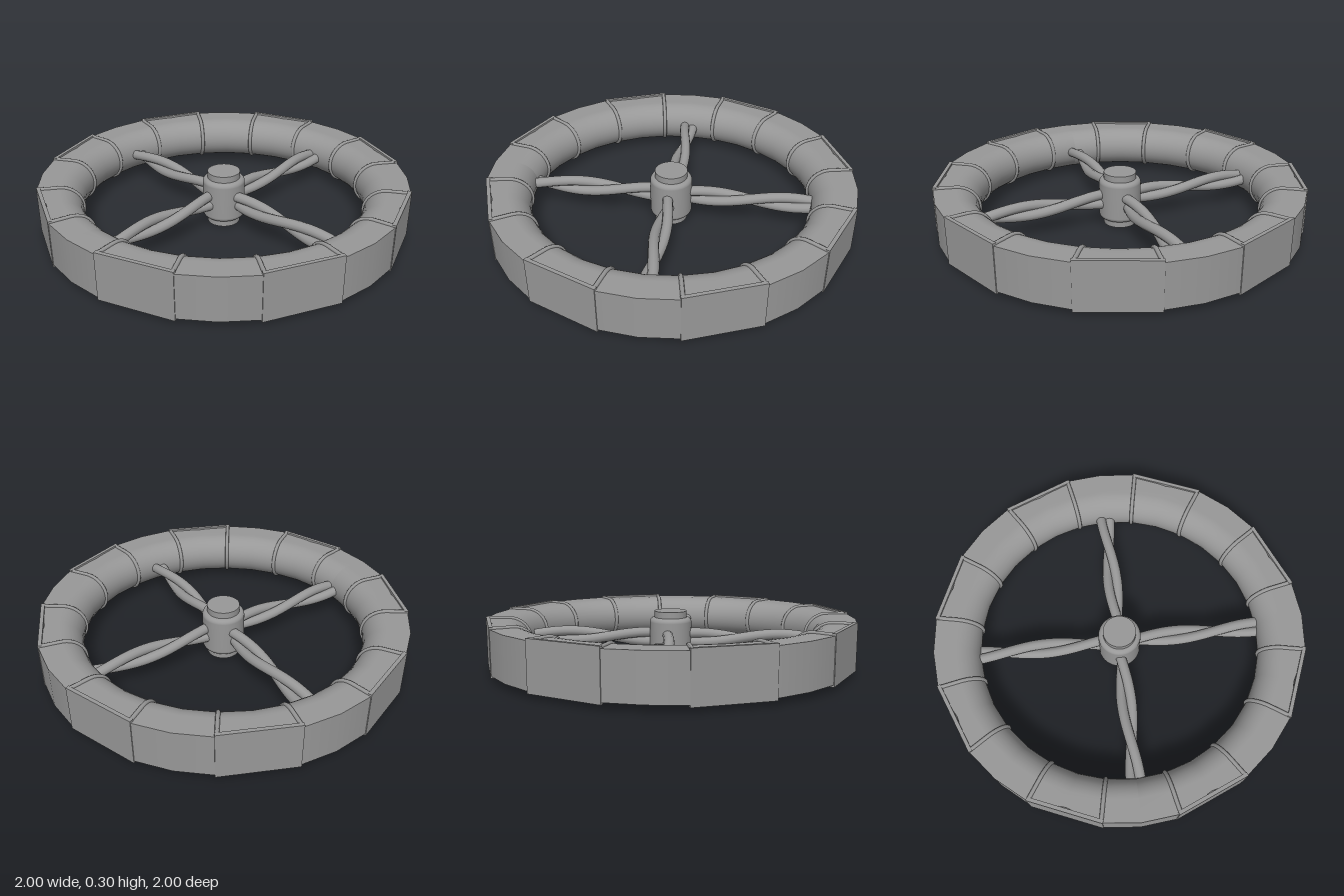
import * as THREE from 'three';

const MID = 0.152;      // height of the wheel's middle plane
const HALF = 0.117;     // half the rim height
const SIDES = 32;       // sections round the rim
const grey = new THREE.MeshStandardMaterial({ color: 0x989898 });
const doubleGrey = new THREE.MeshStandardMaterial({ color: 0x989898, side: THREE.DoubleSide });

function add(parent, name, geometry, material = grey) {
  const mesh = new THREE.Mesh(geometry, material);
  mesh.name = name;
  parent.add(mesh);
  return mesh;
}

// D-shaped rim section as [radius, y]: flat outside, round inside
function rimSection(outer, grow = 0, steps = 16) {
  const h = HALF + grow, pts = [[outer, MID - h]];
  for (let i = 0; i <= steps; i++) {
    const a = -Math.PI / 2 - Math.PI * i / steps;
    pts.push([0.882 + h * Math.cos(a), MID + h * Math.sin(a)]);
  }
  pts.push([outer, MID + h]);
  return pts;
}

// Sweep a section round the axis; the outer edge dips under the plates
function sweep(pick) {
  const radii = [1, 1, 0.958, 1];
  const pos = [], radial = [], index = [];
  const n = pick(rimSection(1)).length;
  for (let i = 0; i <= SIDES; i++) {
    const a = i / SIDES * Math.PI * 2;
    for (const [r, y] of pick(rimSection(radii[i % 4]))) {
      pos.push(r * Math.sin(a), y, r * Math.cos(a));
      radial.push(Math.sin(a), 0, Math.cos(a));
    }
  }
  for (let i = 0; i < SIDES; i++) {
    for (let j = 0; j < n - 1; j++) {
      const p = i * n + j, q = p + n;
      index.push(p, p + 1, q, p + 1, q + 1, q);
    }
  }
  const g = new THREE.BufferGeometry();
  g.setAttribute('position', new THREE.Float32BufferAttribute(pos, 3));
  g.setAttribute('normal', new THREE.Float32BufferAttribute(radial, 3));
  g.setIndex(index);
  return g;
}

// Two strands wound round each other along +z
function strand(phase) {
  const pts = [];
  for (let i = 0; i <= 24; i++) {
    const r = 0.07 + 0.73 * i / 24;
    const a = Math.PI / 2 + phase - Math.PI * (r - 0.13) / 0.45;
    pts.push(new THREE.Vector3(0.026 * Math.cos(a), 0.026 * Math.sin(a), r));
  }
  return new THREE.TubeGeometry(new THREE.CatmullRomCurve3(pts), 48, 0.028, 12);
}

export function createModel() {
  const wheel = new THREE.Group();
  wheel.name = 'wheel';

  // Rim: round inner body and an outer wall that keeps its radial normals
  const rim = new THREE.Group();
  rim.name = 'rim';
  wheel.add(rim);
  const inner = sweep((s) => s);
  inner.computeVertexNormals();
  add(rim, 'rimInner', inner, doubleGrey);
  add(rim, 'rimOuter', sweep((s) => [s[s.length - 1], s[0]]), doubleGrey);

  // Eight clamps: a flat outer plate with a wire band at each end
  const bandPath = new THREE.CurvePath();
  const section = rimSection(0.985, 0.001, 20).map(([r, y]) => new THREE.Vector3(0, y, r));
  for (let i = 0; i < section.length - 1; i++) {
    bandPath.add(new THREE.LineCurve3(section[i], section[i + 1]));
  }
  const bandGeometry = new THREE.TubeGeometry(bandPath, 60, 0.011, 8);
  const plateGeometry = new THREE.BoxGeometry(0.4, 0.255, 0.02);
  for (let i = 0; i < 8; i++) {
    const clamp = new THREE.Group();
    clamp.name = 'clamp';
    clamp.rotation.y = Math.PI / 8 + i * Math.PI / 4;
    wheel.add(clamp);
    add(clamp, 'clampPlate', plateGeometry).position.set(0, MID, 0.973);
    for (const side of [-1, 1]) {
      add(clamp, 'clampBand', bandGeometry).rotation.y = side * Math.PI / 16 * 0.98;
    }
  }

  // Hub with a rounded body and a cap at each end
  const hub = new THREE.Group();
  hub.name = 'hub';
  wheel.add(hub);
  const profile = [new THREE.Vector2(0.08, 0.035)];
  for (const [y, start] of [[0.06, -Math.PI / 2], [0.24, 0]]) {
    for (let i = 0; i <= 6; i++) {
      const a = start + Math.PI / 2 * i / 6;
      profile.push(new THREE.Vector2(0.09 + 0.025 * Math.cos(a), y + 0.025 * Math.sin(a)));
    }
  }
  profile.push(new THREE.Vector2(0.08, 0.265));
  add(hub, 'hubBody', new THREE.LatheGeometry(profile, 40));
  add(hub, 'hubCaps', new THREE.CylinderGeometry(0.089, 0.089, 0.3, 40)).position.y = 0.15;

  // Four twisted spokes
  const strands = [strand(0), strand(Math.PI)];
  for (let i = 0; i < 4; i++) {
    const spoke = new THREE.Group();
    spoke.name = 'spoke';
    spoke.position.y = MID;
    spoke.rotation.y = i * Math.PI / 2;
    wheel.add(spoke);
    for (const g of strands) add(spoke, 'spokeStrand', g);
  }
  return wheel;
}
